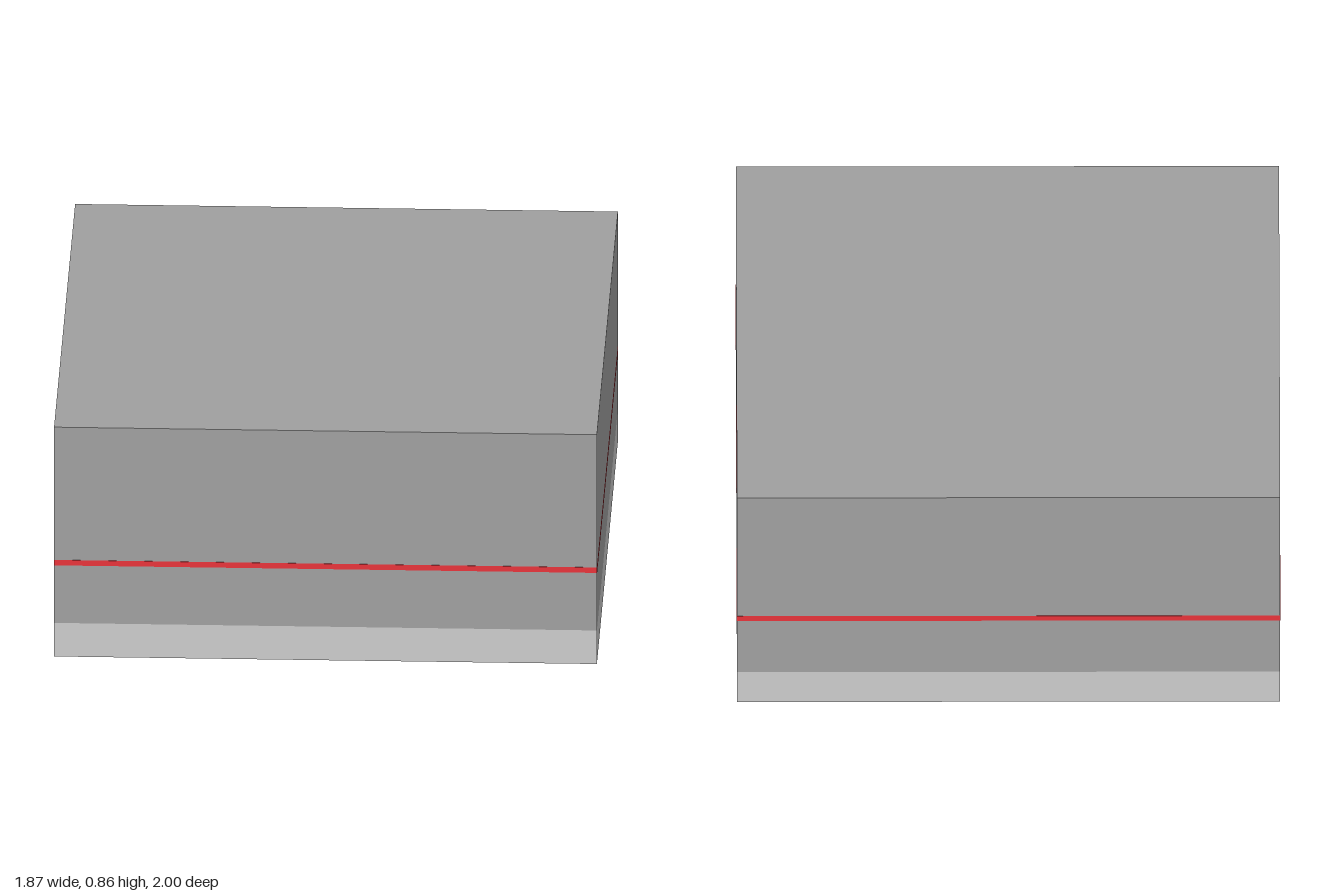
import * as THREE from 'three';

const W = 1.87, D = 2.0;            // plan size
const FLOOR = 0.125, TOP = 0.855;   // floor level and roof top
const T = 0.06;                     // wall and roof thickness
const DOOR = { z0: -0.11, z1: 0.245, top: 0.70 };
const BAND = { y0: 0.34, y1: 0.36, out: 0.001 };

const lightGrey = new THREE.MeshStandardMaterial({ color: 0xcccccc });
const darkGrey = new THREE.MeshStandardMaterial({ color: 0xa0a0a0 });
const red = new THREE.MeshStandardMaterial({ color: 0xe8333a });

// Box given by its minimum and maximum corners
function box(name, material, [x0, y0, z0], [x1, y1, z1]) {
  const mesh = new THREE.Mesh(new THREE.BoxGeometry(x1 - x0, y1 - y0, z1 - z0), material);
  mesh.position.set((x0 + x1) / 2, (y0 + y1) / 2, (z0 + z1) / 2);
  mesh.name = name;
  return mesh;
}

// Wall on the -x side with the doorway cut out, drawn in (z, y) and extruded along x
function doorWall(x, z0, z1, y0, y1) {
  const shape = new THREE.Shape([
    [z0, y0], [DOOR.z0, y0], [DOOR.z0, DOOR.top], [DOOR.z1, DOOR.top],
    [DOOR.z1, y0], [z1, y0], [z1, y1], [z0, y1],
  ].map(([z, y]) => new THREE.Vector2(z, y)));
  const geometry = new THREE.ExtrudeGeometry(shape, { depth: T, bevelEnabled: false });
  geometry.rotateY(-Math.PI / 2);   // shape x -> z, depth -> -x
  geometry.translate(x + T, 0, 0);
  const mesh = new THREE.Mesh(geometry, darkGrey);
  mesh.name = 'rightWallWithDoorway';
  return mesh;
}

export function createModel() {
  const model = new THREE.Group();
  model.name = 'building';
  const hx = W / 2, hz = D / 2, wallTop = TOP - T;

  // Base slab, roof and walls
  model.add(
    box('baseSlab', lightGrey, [-hx, 0, -hz], [hx, FLOOR, hz]),
    box('roof', darkGrey, [-hx, wallTop, -hz], [hx, TOP, hz]),
    box('frontWall', darkGrey, [-hx, FLOOR, hz - T], [hx, wallTop, hz]),
    box('backWall', darkGrey, [-hx, FLOOR, -hz], [hx, wallTop, -hz + T]),
    box('leftWall', darkGrey, [hx - T, FLOOR, -hz + T], [hx, wallTop, hz - T]),
    doorWall(-hx, -hz + T, hz - T, FLOOR, wallTop),
  );

  // Thin band round the outside, interrupted at the doorway
  const { y0, y1, out } = BAND;
  const band = new THREE.Group();
  band.name = 'wallBand';
  const depth = 0.005;
  band.add(
    box('frontBand', red, [-hx - out, y0, hz - depth], [hx + out, y1, hz + out]),
    box('backBand', red, [-hx - out, y0, -hz - out], [hx + out, y1, -hz + depth]),
    box('leftBand', red, [hx - depth, y0, -hz], [hx + out, y1, hz]),
    box('rightBandBack', red, [-hx - out, y0, -hz], [-hx + depth, y1, DOOR.z0]),
    box('rightBandFront', red, [-hx - out, y0, DOOR.z1], [-hx + depth, y1, hz]),
  );
  model.add(band);

  // Fittings along the inside of the front wall
  model.add(
    box('bench', darkGrey, [-hx + T, FLOOR, 0.785], [-0.364, 0.235, hz - T]),
    box('cabinet', darkGrey, [-0.364, FLOOR, 0.785], [0.2, 0.6, hz - T]),
  );
  return model;
}
